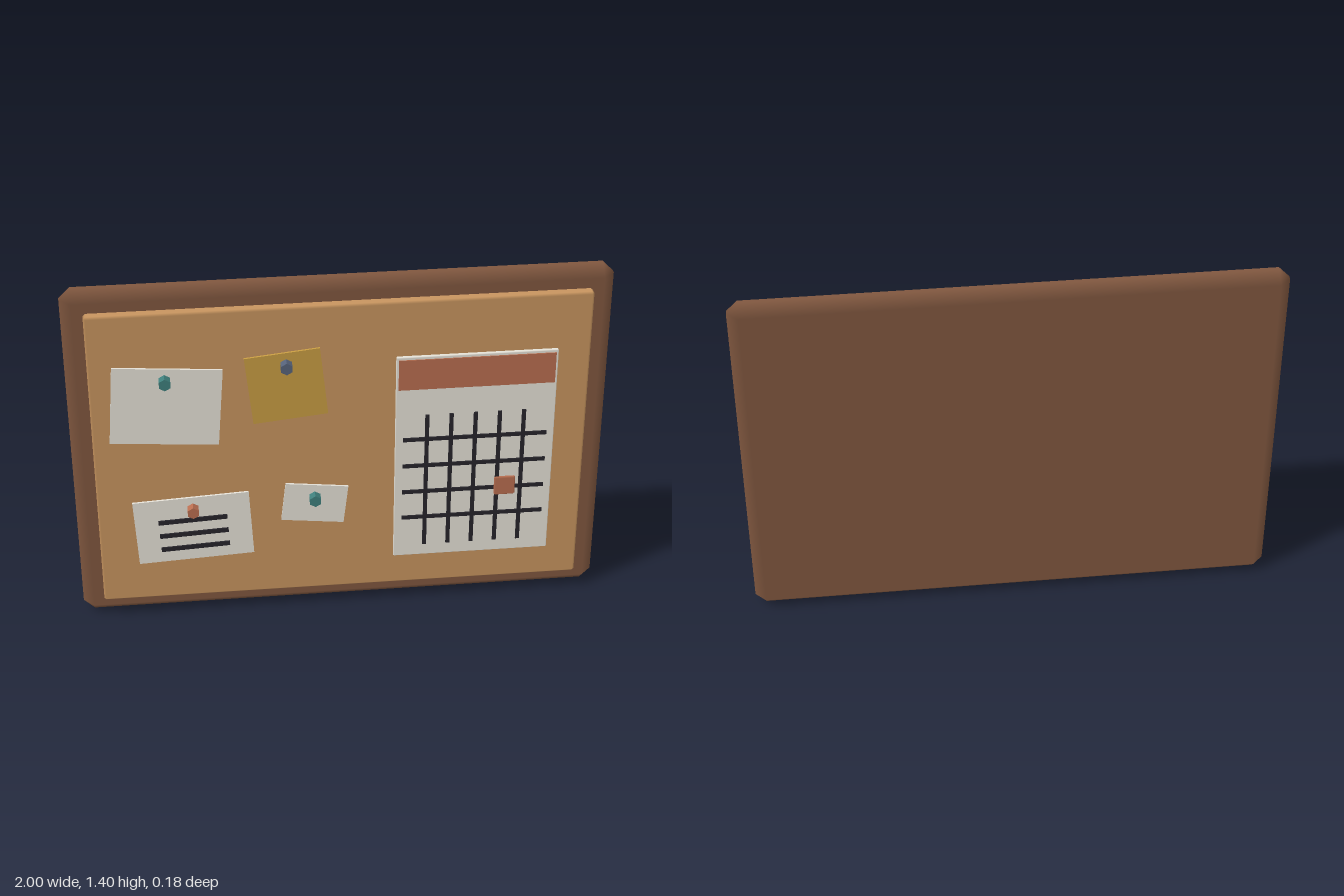
import * as THREE from 'three';
import { ConvexGeometry } from 'three/addons/geometries/ConvexGeometry.js';

const COLORS = {
  wood: 0x80573f, cork: 0xc8955f, paper: 0xe6e2d8, yellow: 0xc89d42, terracotta: 0xb96e50,
  teal: 0x3f7f7c, slate: 0x56627a, ink: 0x26242a,
};
const materials = {};
for (const key in COLORS) materials[key] = new THREE.MeshStandardMaterial({ color: COLORS[key] });
const pinMaterial = (key) => new THREE.MeshStandardMaterial({ color: COLORS[key], flatShading: true });

// Box with one 45-degree bevel; flat faces, shading blended across the bevels
function bevelledBox(w, h, d, r) {
  const half = [w / 2, h / 2, d / 2];
  const points = [];
  for (const sx of [-1, 1]) for (const sy of [-1, 1]) for (const sz of [-1, 1]) {
    const s = [sx, sy, sz];
    for (let axis = 0; axis < 3; axis++) {
      points.push(new THREE.Vector3(...s.map((v, i) => v * (half[i] - (i === axis ? 0 : r)))));
    }
  }
  const geometry = new ConvexGeometry(points);
  const { position, normal } = geometry.attributes;
  for (let i = 0; i < position.count; i++) {
    const p = [position.getX(i), position.getY(i), position.getZ(i)];
    const n = p.map((v, a) => (Math.abs(Math.abs(v) - half[a]) < 1e-5 ? Math.sign(v) : 0));
    normal.setXYZ(i, ...n);
  }
  return geometry;
}

function add(parent, name, geometry, material, x, y, z) {
  const mesh = new THREE.Mesh(geometry, material);
  mesh.name = name;
  mesh.position.set(x, y, z);
  parent.add(mesh);
  return mesh;
}

// Flat box given by its centre, size and z range
function slab(parent, name, color, x, y, w, h, z0, z1) {
  return add(parent, name, new THREE.BoxGeometry(w, h, z1 - z0), materials[color], x, y, (z0 + z1) / 2);
}

export function createModel() {
  const board = new THREE.Group();
  board.name = 'noticeBoard';

  // Wooden frame and raised cork panel
  add(board, 'frame', bevelledBox(2, 1.4, 0.098, 0.041), materials.wood, 0, 0.7, -0.039);
  add(board, 'corkPanel', bevelledBox(1.835, 1.235, 0.06, 0.008), materials.cork, 0, 0.703, 0.014);

  // Tilted notes: name, colour, x, y, width, height, tilt in degrees
  const notes = [
    ['largeNote', 'paper', -0.643, 0.943, 0.4, 0.316, -4.3],
    ['yellowNote', 'yellow', -0.203, 1.003, 0.277, 0.277, 6],
    ['writtenNote', 'paper', -0.562, 0.404, 0.437, 0.277, 3],
    ['smallNote', 'paper', -0.103, 0.485, 0.238, 0.162, -6.5],
  ];
  for (const [name, color, x, y, w, h, tilt] of notes) {
    const note = new THREE.Group();
    note.name = name;
    note.position.set(x, y, 0);
    note.rotation.z = THREE.MathUtils.degToRad(tilt);
    slab(note, 'sheet', color, 0, 0, w, h, 0.045, 0.053);
    if (name === 'writtenNote') {
      for (let i = 0; i < 3; i++) slab(note, 'writtenLine', 'ink', 0, 0.041 - i * 0.061, 0.26, 0.018, 0.052, 0.059);
    }
    board.add(note);
  }

  // Hexagonal push pins
  const pinGeometry = new THREE.CylinderGeometry(0.024, 0.024, 0.034, 6).rotateX(Math.PI / 2);
  const pins = [[-0.643, 1.055, 'teal'], [-0.203, 1.094, 'slate'], [-0.562, 0.494, 'terracotta'], [-0.103, 0.515, 'teal']];
  for (const [x, y, color] of pins) add(board, 'pushPin', pinGeometry, pinMaterial(color), x, y, 0.071);

  // Calendar with header band, ruled grid and marked day
  const calendar = new THREE.Group();
  calendar.name = 'calendar';
  add(calendar, 'calendarSheet', bevelledBox(0.597, 0.877, 0.016, 0.003), materials.paper, 0.497, 0.662, 0.053);
  slab(calendar, 'calendarHeader', 'terracotta', 0.497, 1.028, 0.58, 0.125, 0.055, 0.065);
  for (let i = 0; i < 5; i++) slab(calendar, 'columnLine', 'ink', 0.316 + i * 0.0905, 0.565, 0.015, 0.58, 0.06, 0.067);
  for (let i = 0; i < 4; i++) slab(calendar, 'rowLine', 'ink', 0.497, 0.75 - i * 0.116, 0.54, 0.015, 0.06, 0.067);
  add(calendar, 'markedDay', bevelledBox(0.08, 0.08, 0.014, 0.005), materials.terracotta, 0.617, 0.526, 0.067);
  board.add(calendar);

  return board;
}
